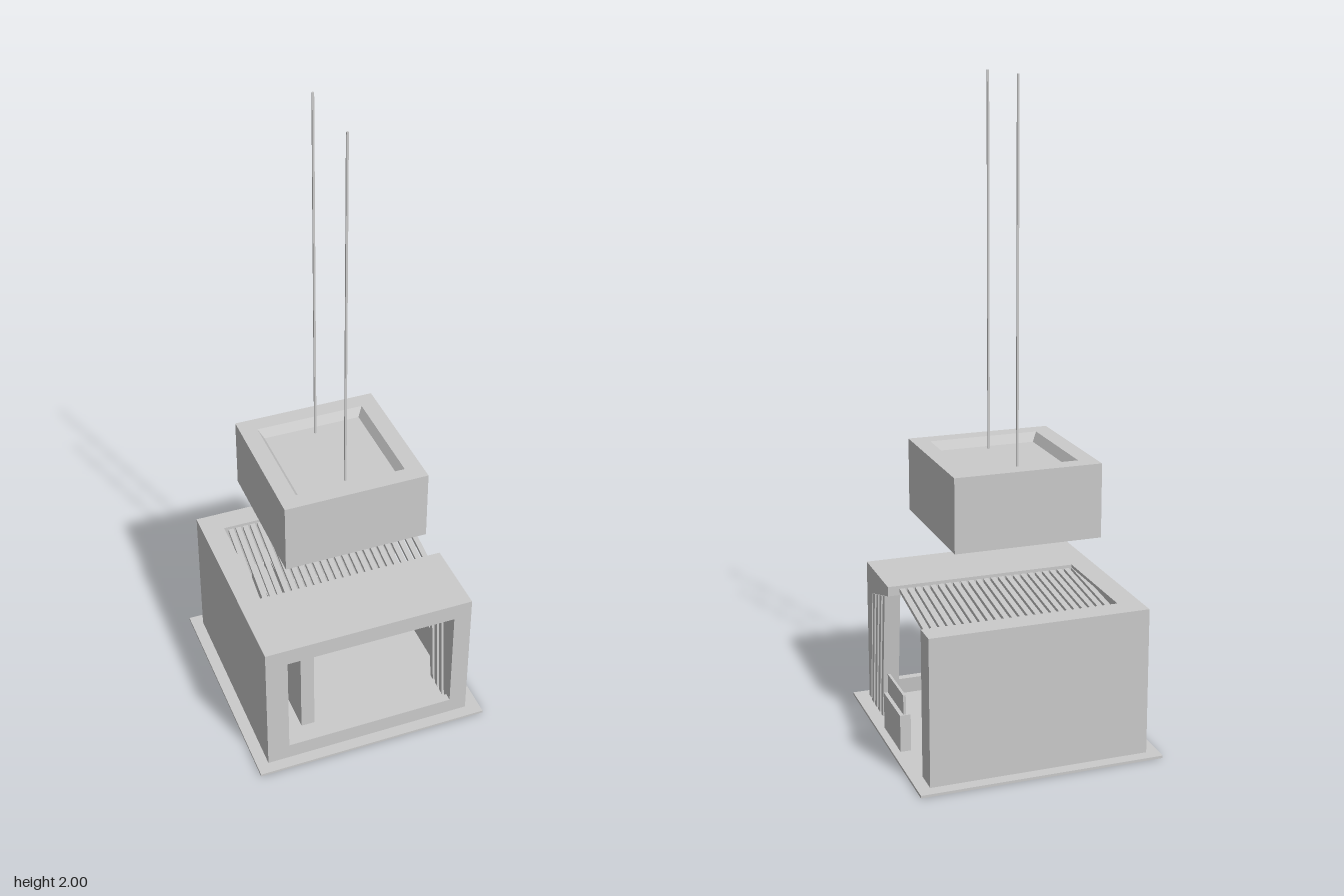
import * as THREE from 'three';

const material = new THREE.MeshStandardMaterial({ color: 0xcccccc, flatShading: true });

export function createModel() {
  const model = new THREE.Group();

  const add = (name, geometry, parent = model) => {
    const mesh = new THREE.Mesh(geometry, material);
    mesh.name = name;
    parent.add(mesh);
    return mesh;
  };
  const group = (name) => {
    const g = new THREE.Group();
    g.name = name;
    model.add(g);
    return g;
  };
  // Box given by its limits on each axis
  const box = (name, x0, x1, y0, y1, z0, z1, parent) => {
    const g = new THREE.BoxGeometry(x1 - x0, y1 - y0, z1 - z0);
    g.translate((x0 + x1) / 2, (y0 + y1) / 2, (z0 + z1) / 2);
    return add(name, g, parent);
  };
  const extrude = (points, depth) => new THREE.ExtrudeGeometry(
    new THREE.Shape(points.map(([a, b]) => new THREE.Vector2(a, b))),
    { depth, bevelEnabled: false });
  // Side profile of [z, y] points, extruded from x0 to x1
  const profile = (name, points, x0, x1, parent) =>
    add(name, extrude(points, x1 - x0).rotateY(-Math.PI / 2).translate(x1, 0, 0), parent);

  // Ground and solid walls
  box('groundSlab', -0.377, 0.377, 0, 0.008, -0.377, 0.377);
  box('backWall', -0.34, 0.338, 0.008, 0.465, -0.34, -0.265);
  box('leftSideWall', -0.34, -0.27, 0.008, 0.465, -0.265, 0.34);

  // Front: sloped roof band, tapering jamb and sill around the window
  const front = group('frontFrame');
  profile('roofBand', [[0.34, 0.41], [0.34, 0.465], [0.095, 0.465], [0.095, 0.435], [0.28, 0.38]],
    -0.27, 0.332, front);
  profile('windowJamb', [[0.34, 0.008], [0.34, 0.41], [0.28, 0.38], [0.319, 0.008]], 0.275, 0.332, front);
  profile('windowSill', [[0.34, 0.008], [0.34, 0.06], [0.314, 0.06], [0.319, 0.008]], -0.27, 0.275, front);

  // Skewed roof slats
  const slats = group('roofSlats');
  for (let i = 0; i < 24; i++) {
    const x = 0.295 - i * 0.0245;
    const outline = [[x, 0.095], [x - 0.017, 0.095], [x + 0.013, -0.265], [x + 0.03, -0.265]];
    const g = extrude(outline.map(([a, z]) => [a, -z]), 0.012);
    add('roofSlat', g.rotateX(-Math.PI / 2).translate(0, 0.443, 0), slats);
  }

  // Leaning fins beside the open side
  const fins = group('sideFins');
  const undersideY = (z) => 0.38 + (0.28 - z) * 0.297;
  for (let i = 0; i < 4; i++) {
    const low = 0.298 - i * 0.036;
    const high = 0.258 - i * 0.038;
    const w = 0.02;
    profile('sideFin', [[low, 0.008], [high, undersideY(high)],
      [high - w, undersideY(high - w)], [low - w, 0.008]], 0.285, 0.335, fins);
  }

  // Interior partition with a taller facing panel
  box('partition', -0.19, -0.146, 0.008, 0.305, -0.238, 0.23);
  box('partitionPanel', -0.152, -0.145, 0.008, 0.375, -0.222, 0.21);

  // Low panels along the inside of the walls
  box('sideDado', -0.27, -0.262, 0.008, 0.19, -0.265, 0.3);
  add('backDado', extrude([[-0.27, 0.008], [0.222, 0.008], [0.16, 0.15], [-0.27, 0.19]], 0.008)
    .translate(0, 0, -0.265));

  // Bench by the open side
  const bench = group('bench');
  box('benchBase', 0.32, 0.353, 0.008, 0.125, -0.09, 0.088, bench);
  box('benchBack', 0.333, 0.341, 0.125, 0.187, -0.085, 0.083, bench);

  // Hanging block with a tapered recess on top
  const hanging = group('hangingBlock');
  const rim = [[0, 0.667], [0.2255, 0.667], [0.2255, 0.893], [0.172, 0.893], [0.155, 0.866], [0, 0.866]];
  const block = new THREE.LatheGeometry(
    rim.map(([r, y]) => new THREE.Vector2(r * Math.SQRT2, y)), 4);
  add('block', block.rotateY(Math.PI / 4).translate(0, 0, -0.012), hanging);
  for (const z of [0.115, -0.138]) {
    box('cable', -0.003, 0.003, 0.866, 2, z - 0.003, z + 0.003, hanging);
  }

  return model;
}
